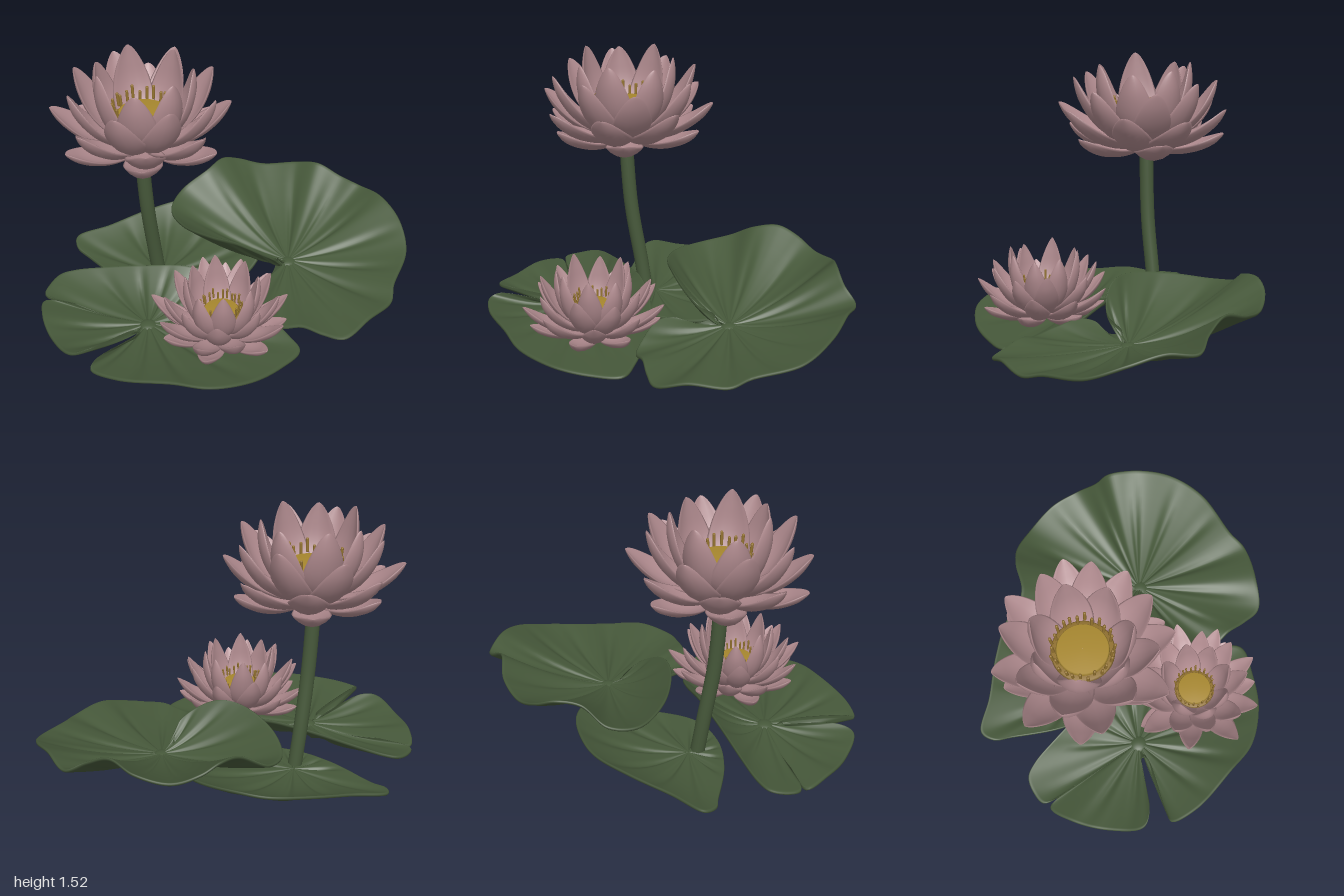
import * as THREE from 'three';

const material = (name, color) => Object.assign(new THREE.MeshStandardMaterial({ color }), { name });

// Skin a list of closed rings (each counter-clockwise about the direction of travel)
function loft(rings) {
  const n = rings[0].length, index = [];
  for (let i = 0; i < rings.length - 1; i++) {
    for (let j = 0; j < n; j++) {
      const k = (j + 1) % n;
      const a = i * n + j, b = i * n + k, c = b + n, d = a + n;
      index.push(a, b, c, a, c, d);
    }
  }
  const g = new THREE.BufferGeometry();
  g.setAttribute('position', new THREE.Float32BufferAttribute(rings.flat(2), 3));
  g.setIndex(index);
  g.computeVertexNormals();
  return g;
}

// Lily pad: fan from a centre to a wavy outline of [x, z, height], with sunk veins
function padGeometry(center, outline, sag, veins, bowl) {
  const [cx, cy, cz] = center, thick = 0.02;
  const curve = new THREE.CatmullRomCurve3(
    outline.map(([x, z, y]) => new THREE.Vector3(x, y, z)), true, 'centripetal');
  const rim = curve.getSpacedPoints(320).slice(0, 320);
  const ring = (s, drop) => rim.map((p) => {
    const angle = Math.atan2(p.z - cz, p.x - cx);
    const vein = 0.016 * Math.pow(Math.abs(Math.cos(angle * veins / 2)), 8) * Math.sin(Math.PI * s);
    const y = cy + (p.y - cy) * Math.pow(s, bowl) - sag * Math.sin(Math.PI * s) - vein;
    return [cx + (p.x - cx) * s, Math.max(0.022, y) - drop, cz + (p.z - cz) * s];
  });
  const steps = [0.001, 0.1, 0.2, 0.3, 0.4, 0.5, 0.6, 0.7, 0.8, 0.9, 0.97, 0.99];
  return loft([
    ...steps.map((s) => ring(s, thick)),
    ring(1, thick * 0.75), ring(1, thick * 0.25),
    ...steps.slice().reverse().map((s) => ring(s, 0)),
  ]);
}

// Cupped petal lying along +x, following a curve from base to tip
function petalGeometry(base, control, tip, halfWidth, point) {
  const path = new THREE.QuadraticBezierCurve(
    new THREE.Vector2(...base), new THREE.Vector2(...control), new THREE.Vector2(...tip));
  const rings = [], sides = 16, steps = 18;
  for (let i = 0; i <= steps; i++) {
    const u = Math.sin(i / steps * Math.PI / 2), p = path.getPoint(u), t = path.getTangent(u);
    const profile = Math.pow(Math.max(0, Math.sin(Math.PI * (0.1 + 0.9 * Math.pow(u, 1.15)))), point);
    const w = halfWidth * profile + 0.0005;
    const th = 0.014 * Math.min(1, profile * 1.5) + 0.0003;
    const ring = [];
    for (let j = 0; j < sides; j++) {
      const a = j / sides * Math.PI * 2, c = Math.cos(a);
      const lift = 0.42 * w * c * c + th * Math.sin(a);
      ring.push([p.x - t.y * lift, p.y + t.x * lift, -w * c]);
    }
    rings.push(ring);
  }
  return loft(rings);
}

// Flower: whorls of petals around a seed head and a ring of stamens
function flower(name, whorls, head, point, mats) {
  const group = new THREE.Group();
  group.name = name;
  whorls.forEach(([count, baseY, control, tip, halfWidth, turn], row) => {
    const geo = petalGeometry([0.03, baseY], control, tip, halfWidth, point);
    for (let i = 0; i < count; i++) {
      const petal = new THREE.Mesh(geo, mats.pink);
      petal.name = 'petal';
      petal.rotation.y = (i + turn) / count * Math.PI * 2 + 0.06 * Math.sin(i * 2.3 + row);
      const v = 0.05 * Math.sin(i * 3.7 + row * 1.9);
      petal.scale.set(1 - v * 0.7, 1 + v, 1);
      group.add(petal);
    }
  });
  const [r, y] = head;
  const turned = (partName, points, mat) => {
    const mesh = new THREE.Mesh(
      new THREE.LatheGeometry(points.map((p) => new THREE.Vector2(...p)), 40), mat);
    mesh.name = partName;
    group.add(mesh);
  };
  turned('seedHead', [
    [0.001, 0], [r * 0.5, 0.01], [r * 0.85, y * 0.6], [r, y * 0.93], [r * 0.95, y], [0.001, y],
  ], mats.yellow);
  turned('stamenBase', [
    [r * 0.5, 0.02], [r * 0.95, y * 0.5], [r * 1.2, y * 0.82], [r * 1.15, y * 0.86], [r * 0.9, y * 0.86],
  ], mats.ochre);
  const count = 26, geo = new THREE.CapsuleGeometry(r * 0.06, y * 0.3, 3, 8);
  for (let i = 0; i < count; i++) {
    const a = i / count * Math.PI * 2, d = r * (1.1 + 0.08 * (i % 2));
    const stamen = new THREE.Mesh(geo, mats.ochre);
    stamen.name = 'stamen';
    stamen.position.set(Math.cos(a) * d, y * (1 + 0.08 * (i % 3)), Math.sin(a) * d);
    stamen.rotation.set(0.12 * Math.sin(a), 0, -0.12 * Math.cos(a));
    group.add(stamen);
  }
  return group;
}

export function createModel() {
  const model = new THREE.Group();
  model.name = 'waterLilies';
  const mats = {
    green: material('leafGreen', 0x46583a),
    pink: material('petalPink', 0xae898d),
    yellow: material('seedHeadYellow', 0xa8882e),
    ochre: material('stamenOchre', 0x91712f),
  };
  const add = (name, geo, mat, x = 0, y = 0, z = 0) => {
    const mesh = new THREE.Mesh(geo, mat);
    mesh.name = name;
    mesh.position.set(x, y, z);
    model.add(mesh);
    return mesh;
  };

  // Front pad: split at the front left, back edge turned up
  add('frontPad', padGeometry([-0.36, 0.06, 0.4], [
    [-0.39, 0.5, 0.07], [-0.55, 0.82, 0.11], [-0.56, 0.87, 0.09],
    [-0.4, 0.92, 0.09], [-0.1, 0.905, 0.1], [0.1, 0.88, 0.08], [0.3, 0.75, 0.05],
    [0.43, 0.58, 0.03], [0.505, 0.42, 0.03], [0.42, 0.32, 0.05], [0.2, 0.16, 0.12],
    [0, 0.08, 0.2], [-0.2, 0.06, 0.24], [-0.45, 0.06, 0.21], [-0.7, 0.06, 0.16],
    [-0.88, 0.07, 0.12], [-0.96, 0.1, 0.1],
    [-1, 0.18, 0.08], [-1, 0.27, 0.07], [-0.8, 0.32, 0.07], [-0.99, 0.31, 0.06],
    [-0.96, 0.46, 0.08], [-0.85, 0.64, 0.07], [-0.7, 0.78, 0.1], [-0.61, 0.74, 0.11],
    [-0.41, 0.48, 0.07],
  ], 0.015, 13, 1.5), mats.green);

  // Back pad: a shallow bowl under the tall stem
  add('backPad', padGeometry([-0.4, 0.04, -0.1], [
    [-0.86, -0.15, 0.06], [-0.6, 0.02, 0.045], [-0.36, 0.1, 0.04], [-0.14, 0.07, 0.045],
    [0.1, -0.2, 0.06], [0.15, -0.45, 0.15], [0, -0.6, 0.19], [-0.25, -0.67, 0.21],
    [-0.4, -0.66, 0.2], [-0.6, -0.55, 0.17], [-0.8, -0.4, 0.13], [-0.97, -0.29, 0.1],
    [-0.95, -0.21, 0.08],
  ], 0, 11, 2.5), mats.green);

  // Raised pad with a wavy, upturned rim and one side tucked under the other
  add('raisedPad', padGeometry([0.32, 0.12, -0.27], [
    [0.25, -0.1, 0.13], [0.19, 0.02, 0.16], [0.2, 0.12, 0.16], [0.28, 0.22, 0.12],
    [0.37, 0.3, 0.08], [0.5, 0.31, 0.11],
    [0.62, 0.33, 0.09], [0.74, 0.33, 0.08], [0.86, 0.19, 0.13], [0.96, 0, 0.12],
    [0.96, -0.12, 0.15], [1, -0.4, 0.2], [0.93, -0.6, 0.28], [0.8, -0.75, 0.33],
    [0.66, -0.87, 0.31], [0.54, -0.86, 0.37], [0.4, -0.88, 0.43], [0.25, -0.93, 0.39],
    [0.05, -0.92, 0.36], [-0.1, -0.87, 0.41], [-0.18, -0.79, 0.45], [-0.25, -0.67, 0.43],
    [-0.38, -0.57, 0.34], [-0.41, -0.4, 0.31], [-0.3, -0.2, 0.34], [-0.1, -0.06, 0.38],
    [0.05, -0.03, 0.38], [0.18, -0.05, 0.32], [0.27, -0.11, 0.24], [0.27, -0.2, 0.17],
  ], 0.015, 15, 1.25), mats.green);

  // Small knob under the pad centres
  for (const [x, y, z] of [[-0.36, 0.04, 0.4], [0.32, 0.1, -0.27]]) {
    add('padKnob', new THREE.SphereGeometry(0.055, 20, 12), mats.green, x, y, z).scale.y = 0.5;
  }

  // Curved stem of the tall flower
  const stemPath = new THREE.CatmullRomCurve3([
    [-0.395, 0.04, -0.04], [-0.415, 0.25, -0.015], [-0.44, 0.6, 0.035], [-0.46, 1.03, 0.06],
  ].map((p) => new THREE.Vector3(...p)));
  add('stem', new THREE.TubeGeometry(stemPath, 32, 0.04, 20), mats.green);

  // Whorls: count, base height, control, tip, half width, turn
  const tall = flower('tallFlower', [
    [6, 0, [0.3, -0.06], [0.46, 0.11], 0.105, 0.7],
    [8, 0.01, [0.33, 0], [0.49, 0.25], 0.11, 0.29],
    [8, 0.02, [0.33, 0.07], [0.41, 0.4], 0.11, 0.79],
    [7, 0.03, [0.29, 0.12], [0.27, 0.48], 0.115, 0.3],
  ], [0.14, 0.22], 0.58, mats);
  tall.position.set(-0.435, 1.015, 0.065);
  model.add(tall);

  const low = flower('lowFlower', [
    [7, 0, [0.24, -0.03], [0.36, 0.09], 0.07, 0.25],
    [9, 0.01, [0.25, 0], [0.385, 0.2], 0.07, 0.5],
    [9, 0.02, [0.25, 0.06], [0.31, 0.3], 0.07, 0],
    [8, 0.02, [0.22, 0.1], [0.2, 0.38], 0.075, 0.4],
  ], [0.095, 0.17], 0.7, mats);
  low.position.set(0.065, 0.09, 0.435);
  model.add(low);

  return model;
}
